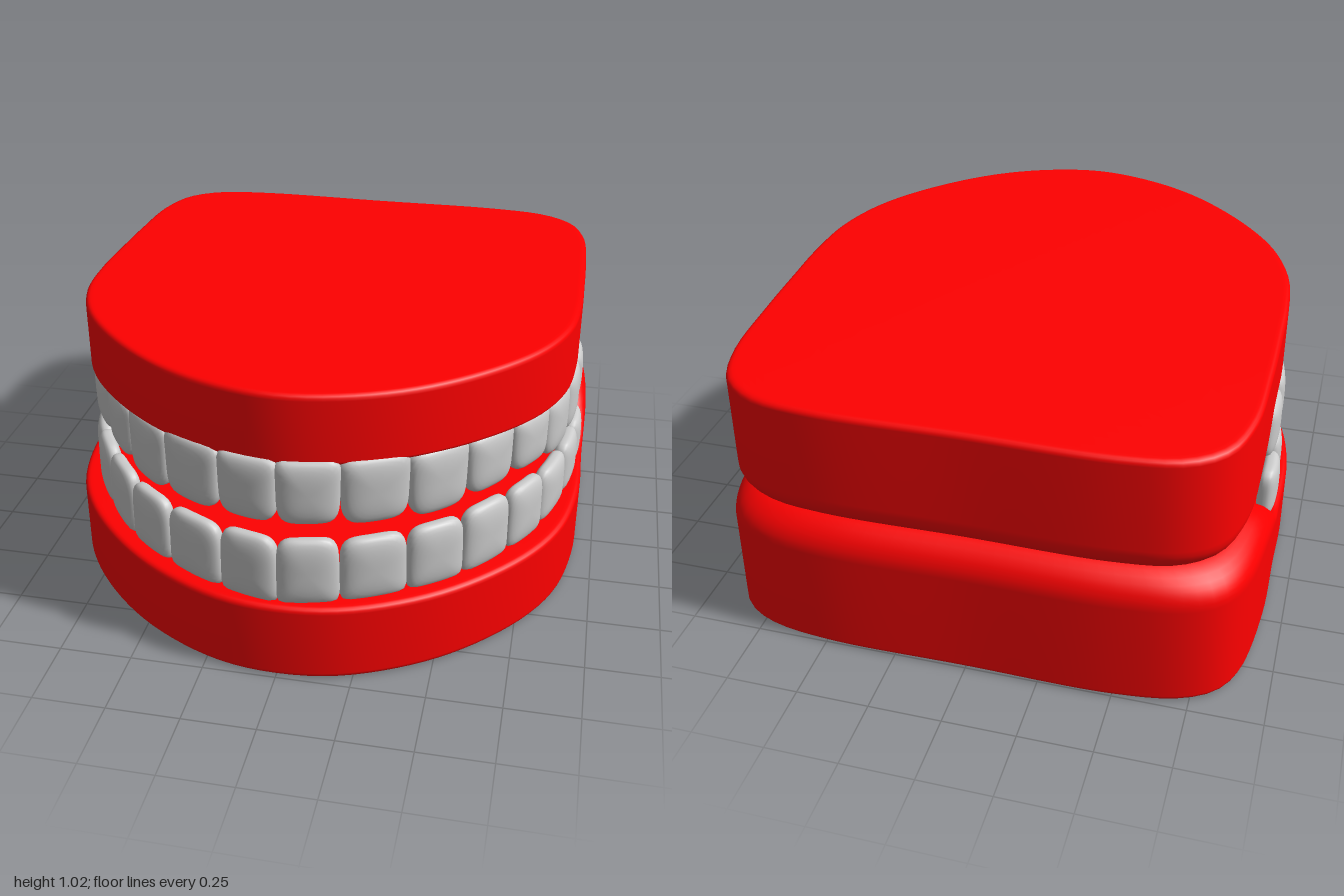
import * as THREE from 'three';
import { mergeVertices } from 'three/addons/utils/BufferGeometryUtils.js';

const gumMaterial = new THREE.MeshStandardMaterial({ color: 0xff0000 });
const toothMaterial = new THREE.MeshStandardMaterial({ color: 0xcccccc });

// Closed, mirrored arch outline from the points of its +x half (front to back)
function archOutline(half, count = 128) {
  const inner = half.slice(1, -1);
  const all = [...half, ...inner.reverse().map(([x, z]) => [-x, z])];
  const curve = new THREE.CatmullRomCurve3(all.map(([x, z]) => new THREE.Vector3(x, 0, z)), true);
  return curve.getSpacedPoints(count).slice(0, count);
}

// How far a fillet of radius r falls away at distance d from the rim
const fillet = (d, r) => (d >= r ? 0 : r - Math.sqrt(r * r - (r - d) ** 2));

// Pad at the back of a gum: 0 in front of `start`, easing to 1 over `span`
function padRise(z, start, span) {
  const t = THREE.MathUtils.clamp((start - z) / span, 0, 1);
  return 1 - (1 - t) ** 2.4;
}

// Rings running from the underside's middle, out over the rim, to the top's middle
function gum(name, half, bottomY, topY) {
  const outline = archOutline(half);
  const n = outline.length;
  const insets = [0, 0.002, 0.006, 0.012, 0.02, 0.032, 0.05, 0.07, 0.095, 0.125];
  for (let d = 0.16; d < 1.001; d += 0.035) insets.push(Math.min(d, 1));
  const rings = [
    ...[...insets].reverse().map((d) => [d, bottomY]),
    ...insets.map((d) => [d, topY]),
  ];
  const positions = [];
  const index = [];
  rings.forEach(([d, height], i) => {
    outline.forEach((p, j) => {
      const z = p.z * (1 - d);
      positions.push(p.x * (1 - d), height(z, d), z);
      if (i === rings.length - 1) return;
      const k = (j + 1) % n;
      const a = i * n + j, b = i * n + k;
      index.push(a, b, a + n, b, b + n, a + n);
    });
  });
  const geometry = new THREE.BufferGeometry();
  geometry.setAttribute('position', new THREE.Float32BufferAttribute(positions, 3));
  geometry.setIndex(index);
  geometry.computeVertexNormals();
  const mesh = new THREE.Mesh(geometry, gumMaterial);
  mesh.name = name;
  return mesh;
}

// Pillow-shaped tooth: squarer at the gum, rounder at the biting tip (tip = +1 up, -1 down)
function toothGeometry(width, height, tip) {
  let g = new THREE.SphereGeometry(1, 48, 20).rotateX(Math.PI / 2);
  g.deleteAttribute('normal');
  g.deleteAttribute('uv');
  g = mergeVertices(g, 1e-4);
  const pos = g.attributes.position;
  const v = new THREE.Vector3();
  for (let i = 0; i < pos.count; i++) {
    v.fromBufferAttribute(pos, i);
    const n = v.y * tip > 0 ? 4.5 : 9;
    const face = (Math.abs(v.x) ** n + Math.abs(v.y) ** n) ** (1 / n);
    v.divideScalar((face ** 3 + Math.abs(v.z) ** 3) ** (1 / 3));
    const x = v.x * (width / 2) * (0.985 - 0.025 * v.y * tip);
    pos.setXYZ(i, x, v.y * height / 2, v.z * 0.035 - 0.7 * x * x);
  }
  g.computeVertexNormals();
  return g;
}

// Row of teeth along the outer path; spans hold [lowY, highY] of each tooth
function toothRow(name, path, spans, tip) {
  const row = new THREE.Group();
  row.name = name;
  spans.forEach(([low, high], i) => {
    const [ax, az] = path[i];
    const [bx, bz] = path[i + 1];
    const width = Math.hypot(bx - ax, bz - az);
    const nx = (az - bz) / width, nz = (bx - ax) / width;
    const geometry = toothGeometry(width - 0.006, high - low, tip);
    for (const side of [1, -1]) {
      const tooth = new THREE.Mesh(geometry, toothMaterial);
      tooth.name = `${name}${side > 0 ? 'Left' : 'Right'}${i + 1}`;
      tooth.position.set(side * ((ax + bx) / 2 - nx * 0.028), (low + high) / 2, (az + bz) / 2 - nz * 0.028);
      tooth.rotation.y = side * Math.atan2(nx, nz);
      row.add(tooth);
    }
  });
  return row;
}

export function createModel() {
  const model = new THREE.Group();
  model.name = 'dentures';

  // Lower gum, flat in front with a raised pad at the back
  const lowerHalf = [[0, 0.99], [0.2, 0.965], [0.42, 0.87], [0.6, 0.74], [0.78, 0.54], [0.88, 0.35],
    [0.93, 0.1], [0.932, -0.2], [0.93, -0.5], [0.89, -0.79], [0.83, -0.9], [0.72, -0.965], [0.5, -1], [0, -1]];
  model.add(gum('lowerGum', lowerHalf,
    (z, d) => 0.005 + fillet(d, 0.02),
    (z, d) => {
      const k = padRise(z, -0.27, 0.35);
      return 0.285 + 0.212 * k - fillet(d, 0.02 + 0.1 * k);
    }));

  // Upper gum, with a sloping top and a pad hanging down at the back
  const upperHalf = [[0, 0.925], [0.2, 0.89], [0.4, 0.8], [0.6, 0.64], [0.77, 0.43], [0.855, 0.22],
    [0.88, 0], [0.882, -0.2], [0.88, -0.45], [0.865, -0.72], [0.81, -0.88], [0.7, -0.965], [0.5, -1], [0, -1]];
  model.add(gum('upperGum', upperHalf,
    (z, d) => {
      const k = padRise(z, -0.27, 0.4);
      const base = 0.735 + 0.055 * z;
      return base + (0.503 - base) * k + fillet(d, 0.012 + 0.1 * k);
    },
    (z, d) => 0.989 + 0.044 * z - fillet(d, 0.02)));

  // Teeth, eight on each side of both rows
  model.add(toothRow('lowerTooth',
    [[0, 0.975], [0.207, 0.925], [0.415, 0.82], [0.585, 0.69], [0.72, 0.52], [0.82, 0.345],
      [0.885, 0.13], [0.913, -0.075], [0.915, -0.28]],
    [[0.275, 0.52], [0.275, 0.51], [0.275, 0.51], [0.275, 0.515], [0.275, 0.505], [0.28, 0.485],
      [0.28, 0.475], [0.28, 0.46]], 1));
  model.add(toothRow('upperTooth',
    [[0, 0.96], [0.207, 0.915], [0.415, 0.81], [0.585, 0.66], [0.715, 0.49], [0.82, 0.32],
      [0.878, 0.115], [0.9, -0.095], [0.895, -0.3]],
    [[0.575, 0.8], [0.565, 0.798], [0.55, 0.785], [0.56, 0.77], [0.56, 0.757], [0.53, 0.745],
      [0.525, 0.735], [0.53, 0.725]], -1));

  return model;
}
